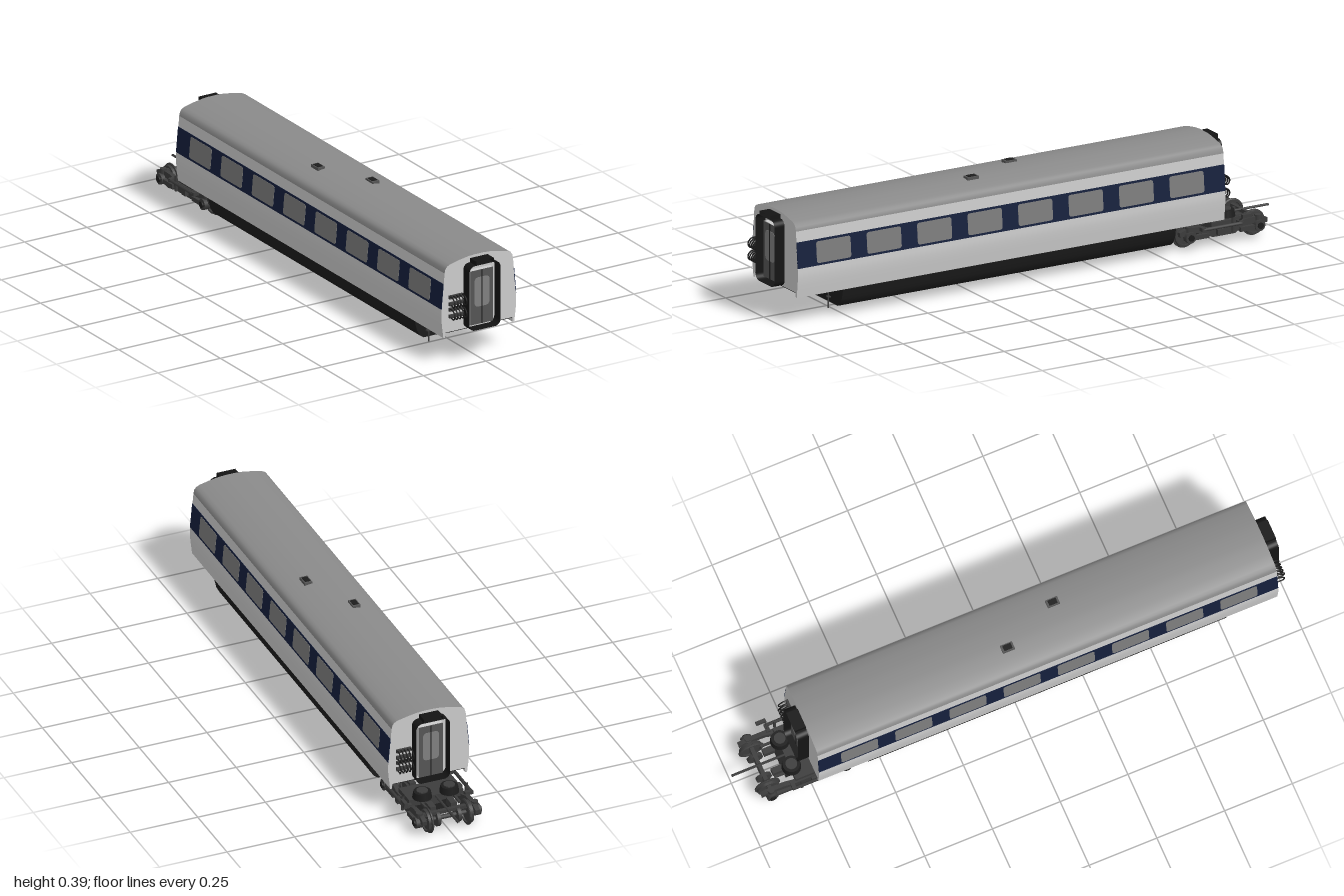
import * as THREE from 'three';
import { toCreasedNormals } from 'three/addons/utils/BufferGeometryUtils.js';

const mat = (color, side = THREE.FrontSide) => new THREE.MeshStandardMaterial({ color, side });
const M = {
  wall: mat(0xcccccc), roof: mat(0x8a8a8a), black: mat(0x1c1c1c), blue: mat(0x141f3c),
  glass: mat(0x7c7c7c), door: mat(0x555555), pane: mat(0x808080), steel: mat(0x3c3c3c),
  rubber: mat(0x141414, THREE.DoubleSide),
};
const FRONT = 0.955, BACK = -0.74;

function add(parent, name, geo, material, x = 0, y = 0, z = 0) {
  const m = new THREE.Mesh(geo, material);
  m.name = name;
  m.position.set(x, y, z);
  parent.add(m);
  return m;
}
const box = (p, name, w, h, d, material, x, y, z) => add(p, name, new THREE.BoxGeometry(w, h, d), material, x, y, z);

// Cylinder lying along x
function axleCyl(p, name, r, len, material, x, y, z, seg = 20) {
  return add(p, name, new THREE.CylinderGeometry(r, r, len, seg).rotateZ(Math.PI / 2), material, x, y, z);
}
function rod(p, name, points, r, material) {
  const curve = new THREE.CatmullRomCurve3(points.map((q) => new THREE.Vector3(...q)));
  return add(p, name, new THREE.TubeGeometry(curve, points.length > 2 ? 14 : 1, r, 6), material);
}
// Closed outline mirrored from its right half, listed bottom to top
function mirrored(half) {
  const left = half.filter(([x]) => x > 0).reverse().map(([x, y]) => [-x, y]);
  return new THREE.Shape([...half, ...left].map(([x, y]) => new THREE.Vector2(x, y)));
}
function extrudeZ(shape, z0, z1) {
  const g = new THREE.ExtrudeGeometry(shape, { depth: z1 - z0, bevelEnabled: false, curveSegments: 6 });
  return toCreasedNormals(g.translate(0, 0, z0), 0.6);
}
function roundRect(w, h, r) {
  const s = new THREE.Shape(), x = w / 2, y = h / 2;
  s.absarc(x - r, y - r, r, 0, Math.PI / 2);
  s.absarc(-x + r, y - r, r, Math.PI / 2, Math.PI);
  s.absarc(-x + r, -y + r, r, Math.PI, Math.PI * 1.5);
  s.absarc(x - r, -y + r, r, Math.PI * 1.5, Math.PI * 2);
  s.closePath();
  return s;
}

function addBody(root) {
  const g = new THREE.Group();
  g.name = 'carBody';
  root.add(g);
  const lower = [[0.134, 0.118], [0.136, 0.1], [0.142, 0.1], [0.147, 0.14], [0.15, 0.17], [0.15, 0.19], [0.137, 0.335]];
  const upper = [[0.137, 0.335], [0.134, 0.349], [0.127, 0.358], [0.115, 0.364], [0.08, 0.372], [0.045, 0.378], [0.02, 0.38]];
  add(g, 'sideWalls', extrudeZ(mirrored(lower), BACK, FRONT), M.wall);
  // End caps stay light, the roof skin is darker
  add(g, 'roof', extrudeZ(mirrored(upper), BACK, FRONT), [M.wall, M.roof]);
  box(g, 'floor', 0.268, 0.004, FRONT - BACK - 0.004, M.black, 0, 0.117, (FRONT + BACK) / 2);
  const skirt = [[0.02, 0.032], [0.105, 0.032], [0.12, 0.042], [0.132, 0.064], [0.1405, 0.099], [0.134, 0.116]];
  add(g, 'underfloorSkirt', extrudeZ(mirrored(skirt), -0.55, 0.77), M.black);

  // Sloped window band and windows on both sides
  const tilt = Math.atan2(0.013, 0.145);
  for (const s of [1, -1]) {
    const side = new THREE.Group();
    side.name = s > 0 ? 'leftWindows' : 'rightWindows';
    side.position.set(s * 0.1445, 0.251, 0);
    side.rotation.z = s * tilt;
    g.add(side);
    box(side, 'windowBand', 0.003, 0.092, FRONT - BACK, M.blue, 0, 0, (FRONT + BACK) / 2);
    const pane = new THREE.ExtrudeGeometry(roundRect(0.136, 0.076, 0.009), { depth: 0.001, bevelEnabled: false, curveSegments: 4 });
    pane.rotateY(s * Math.PI / 2);
    for (let i = 0; i < 8; i++) add(side, 'window', pane, M.glass, s * 0.0015, 0, 0.811 - 0.2 * i);
    // Hanging step bracket
    box(g, 'stepBracket', 0.004, 0.045, 0.004, M.steel, s * 0.11, 0.055, 0.81);
    box(g, 'stepHanger', 0.004, 0.045, 0.004, M.steel, s * 0.11, 0.095, 0.81);
    box(g, 'step', 0.014, 0.004, 0.012, M.steel, s * 0.113, 0.074, 0.812);
  }
  for (const [x, z] of [[-0.045, 0], [0.045, 0.205]]) {
    box(g, 'roofVent', 0.028, 0.014, 0.044, M.door, x, 0.379, z);
    box(g, 'roofVentLid', 0.02, 0.002, 0.03, M.black, x, 0.387, z);
  }
}

// Gangway, door and cable loops, built facing +z from the end wall
function makeEnd(name) {
  const g = new THREE.Group();
  g.name = name;
  box(g, 'doorFrame', 0.088, 0.196, 0.018, M.wall, 0, 0.23, 0.008);
  box(g, 'door', 0.088, 0.196, 0.003, M.door, 0, 0.23, 0.0185);
  add(g, 'doorWindow', extrudeZ(roundRect(0.06, 0.107, 0.014), 0.02, 0.021), M.pane, 0, 0.249, 0);
  box(g, 'doorSeam', 0.003, 0.196, 0.003, M.black, 0, 0.23, 0.0207);

  // Open rubber bellows: a rounded ring wall without caps
  const pts = roundRect(0.124, 0.236, 0.022).getPoints(6);
  const pos = [], idx = [];
  pts.forEach((p, i) => {
    pos.push(p.x, p.y + 0.237, 0, p.x, p.y + 0.237, 0.04);
    if (i < pts.length - 1) idx.push(2 * i, 2 * i + 2, 2 * i + 1, 2 * i + 1, 2 * i + 2, 2 * i + 3);
  });
  const ring = new THREE.BufferGeometry();
  ring.setAttribute('position', new THREE.Float32BufferAttribute(pos, 3));
  ring.setIndex(idx);
  ring.computeVertexNormals();
  add(g, 'gangwayBellows', ring, M.rubber);
  // Raised lip over the bellows
  const lip = new THREE.PlaneGeometry(0.07, 0.04).rotateX(-Math.PI / 2);
  add(g, 'bellowsLip', lip, M.rubber, 0, 0.37, 0.02);
  for (const s of [1, -1]) {
    add(g, 'bellowsLipSide', new THREE.PlaneGeometry(0.04, 0.015).rotateY(Math.PI / 2), M.rubber, s * 0.035, 0.3625, 0.02);
  }

  // Two rows of cable loops beside the door
  for (const y of [0.212, 0.167]) {
    for (let i = 0; i < 5; i++) {
      const x = -0.118 + i * 0.012;
      rod(g, 'cableLoop', [[x, y + 0.036, 0], [x, y + 0.035, 0.022], [x, y + 0.02, 0.036], [x, y + 0.004, 0.03], [x, y + 0.006, 0.012]], 0.0025, M.black);
    }
    box(g, 'cableSocketRow', 0.054, 0.012, 0.008, M.steel, -0.094, y + 0.033, 0.004);
    box(g, 'cableSocketRow', 0.054, 0.012, 0.008, M.steel, -0.094, y + 0.008, 0.004);
  }
  return g;
}

function addBogie(root) {
  const g = new THREE.Group();
  g.name = 'bogie';
  g.position.z = -0.76;
  root.add(g);
  const wheelProfile = [[0, -0.006], [0.02, -0.004], [0.034, -0.004], [0.035, -0.009], [0.042, -0.009], [0.046, -0.006], [0.046, -0.002], [0.041, 0], [0.04, 0.009], [0.034, 0.009], [0.033, 0.004], [0.02, 0.003], [0, 0.005]];
  const wheel = toCreasedNormals(new THREE.LatheGeometry(wheelProfile.map(([r, h]) => new THREE.Vector2(r, h)), 28), 0.6);
  // Side frame drawn in the z-y plane with a dropped centre
  const half = [[0.045, 0.032], [0.075, 0.052], [0.12, 0.056], [0.172, 0.05], [0.174, 0.066], [0.14, 0.078], [0.085, 0.076], [0.055, 0.064]];
  const frame = extrudeZ(mirrored(half), -0.008, 0.008).rotateY(Math.PI / 2);

  for (const z of [-0.137, 0.137]) {
    axleCyl(g, 'axle', 0.008, 0.23, M.steel, 0, 0.047, z, 12);
    for (const s of [1, -1]) {
      const w = add(g, 'wheel', wheel, M.steel, s * 0.074, 0.047, z);
      w.rotation.z = -s * Math.PI / 2;
      axleCyl(g, 'brakeDisc', 0.028, 0.012, M.steel, s * 0.038, 0.047, z);
      axleCyl(g, 'axleBox', 0.02, 0.022, M.steel, s * 0.109, 0.047, z, 12);
      axleCyl(g, 'axleBoxCap', 0.011, 0.006, M.black, s * 0.122, 0.047, z, 12);
      box(g, 'axleArm', 0.014, 0.016, 0.07, M.steel, s * 0.108, 0.043, z - Math.sign(z) * 0.04);
      add(g, 'primarySpring', new THREE.CylinderGeometry(0.012, 0.012, 0.022, 12), M.steel, s * 0.102, 0.072, z);
      box(g, 'brakeCaliper', 0.022, 0.024, 0.04, M.steel, s * 0.038, 0.062, z - Math.sign(z) * 0.05);
      box(g, 'brakeHanger', 0.008, 0.008, 0.05, M.steel, s * 0.06, 0.07, z - Math.sign(z) * 0.055);
    }
    box(g, 'endBeam', 0.2, 0.012, 0.014, M.steel, 0, 0.07, z);
  }
  for (const s of [1, -1]) {
    add(g, 'sideFrame', frame, M.steel, s * 0.098, 0, 0);
    // Air spring and its seat
    add(g, 'airSpring', new THREE.CylinderGeometry(0.03, 0.034, 0.024, 24), M.black, s * 0.05, 0.092, -0.04);
    add(g, 'airSpringTop', new THREE.CylinderGeometry(0.02, 0.02, 0.004, 20), M.steel, s * 0.05, 0.106, -0.04);
    // Dampers and lever outside the frame
    rod(g, 'verticalDamper', [[s * 0.118, 0.04, -0.03], [s * 0.118, 0.095, -0.03]], 0.006, M.steel);
    rod(g, 'yawDamper', [[s * 0.124, 0.07, -0.06], [s * 0.124, 0.07, 0.09]], 0.006, M.steel);
    box(g, 'damperBracket', 0.03, 0.012, 0.014, M.steel, s * 0.113, 0.07, -0.06);
    box(g, 'damperBracket', 0.03, 0.012, 0.014, M.steel, s * 0.113, 0.07, 0.09);
    box(g, 'frameStop', 0.016, 0.02, 0.022, M.steel, s * 0.112, 0.05, 0.02);
  }
  box(g, 'bolster', 0.2, 0.026, 0.09, M.steel, 0, 0.067, 0);
  box(g, 'centrePlate', 0.12, 0.01, 0.13, M.black, 0, 0.026, 0);
  box(g, 'centrePivot', 0.05, 0.03, 0.05, M.steel, 0, 0.045, 0);
  box(g, 'sensorBox', 0.012, 0.012, 0.036, M.steel, 0.132, 0.096, -0.075);
  rod(g, 'sensorArm', [[0.1, 0.07, -0.06], [0.132, 0.092, -0.06]], 0.003, M.steel);
  rod(g, 'couplingRod', [[0, 0.074, -0.24], [0, 0.074, -0.04]], 0.0045, M.steel);
}

export function createModel() {
  const root = new THREE.Group();
  root.name = 'passengerCarriage';
  addBody(root);
  const front = makeEnd('frontEnd');
  front.position.z = FRONT;
  const back = makeEnd('backEnd');
  back.position.z = BACK;
  back.rotation.y = Math.PI;
  root.add(front, back);
  addBogie(root);
  return root;
}
